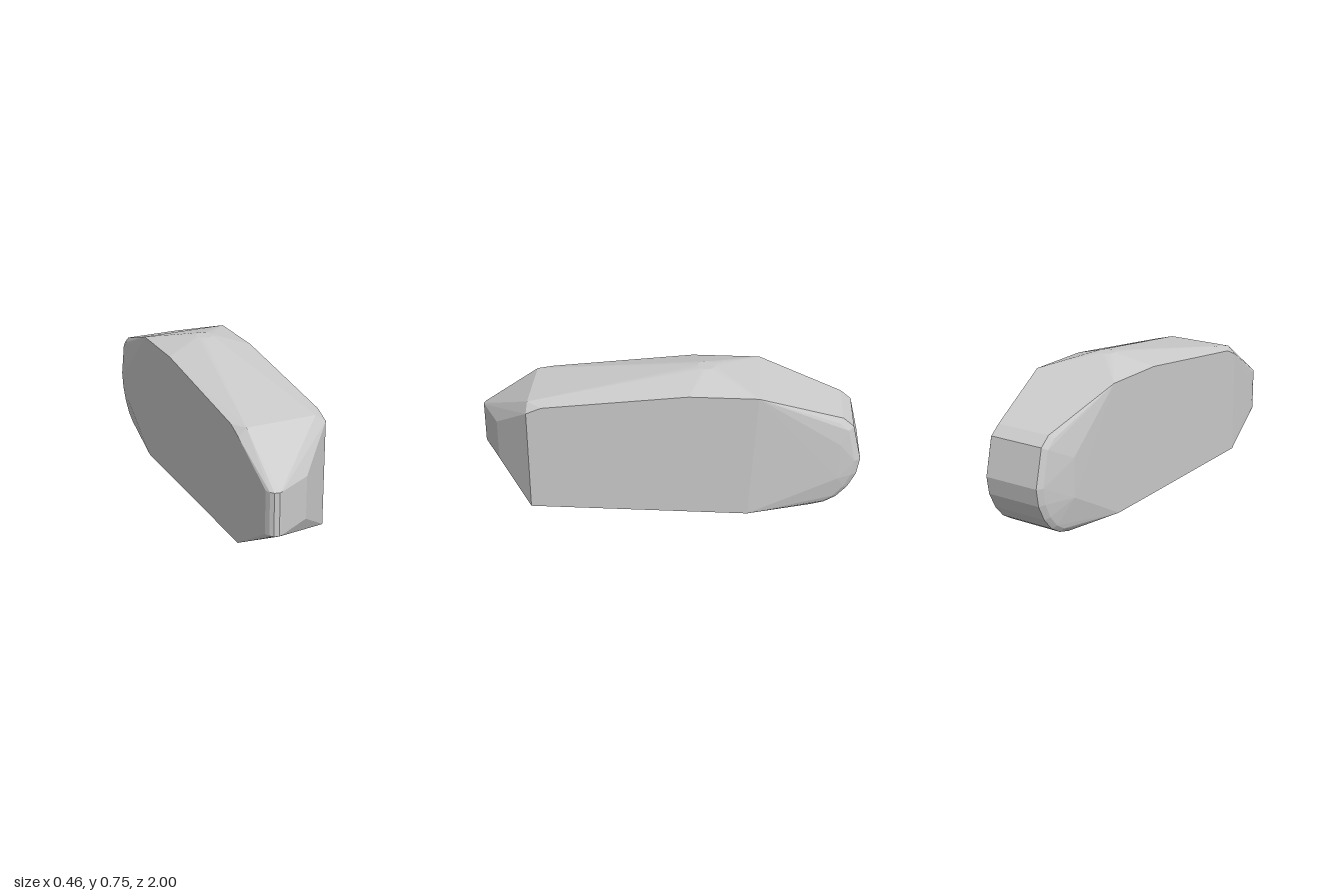
import * as THREE from 'three';
import { ConvexGeometry } from 'three/addons/geometries/ConvexGeometry.js';

export function createModel() {
  const group = new THREE.Group();
  const points = [];
  const add = (x, y, z) => points.push(new THREE.Vector3(x, y, z));

  // Flat flanks: outline as [z, y], shared by both sides
  const flank = [[0.7, 0.005], [0.7, 0.56], [0.62, 0.595], [-0.12, 0.685], [-0.47, 0.685], [-0.43, 0.005]];
  for (const [z, y] of flank) for (const x of [-0.232, 0.232]) add(x, y, z);

  // Front brow and slightly bowed underside
  add(-0.19, 0.6, 0.7);
  add(0.175, 0.6, 0.7);
  for (const x of [-0.12, 0.12]) {
    add(x, 0, 0.45);
    add(x, 0, -0.6);
  }

  // Small round flat at the peak
  for (let i = 0; i < 16; i++) {
    const a = (i / 16) * Math.PI * 2;
    add(0.045 * Math.cos(a), 0.746, -0.2 + 0.045 * Math.sin(a));
  }

  // Off-centre nose: plan curve as [x, z], between two heights
  const nose = [[-0.222, 0.85], [-0.214, 0.95], [-0.205, 0.977], [-0.19, 0.993], [-0.165, 1], [-0.15, 0.994],
    [-0.132, 0.982], [0.03, 0.895]];
  for (const [x, z] of nose) for (const y of [0.17, 0.392]) add(x, y, z);

  // Rounded tail: profile as [z, y], with a narrow bevel at each end
  const tail = [[-0.9, 0.535], [-0.955, 0.49], [-1, 0.3], [-0.985, 0.21], [-0.945, 0.13],
    [-0.89, 0.067], [-0.83, 0.03], [-0.76, 0.01], [-0.68, 0.004]];
  for (const [z, y] of tail) {
    add(-0.165, y, z);
    add(0.13, y, z);
    const bz = -0.7 + (z + 0.7) * 0.9, by = 0.28 + (y - 0.28) * 0.93;
    add(-0.183, by, bz);
    add(0.153, by, bz);
  }

  // Shoulders where the flanks turn in toward the tail
  for (const y of [0.2, 0.4]) {
    add(0.17, y, -0.89);
    add(-0.22, y, -0.78);
  }

  const body = new THREE.Mesh(
    new ConvexGeometry(points),
    new THREE.MeshStandardMaterial({ color: 0xcccccc, flatShading: true })
  );
  body.name = 'body';
  group.add(body);
  return group;
}
